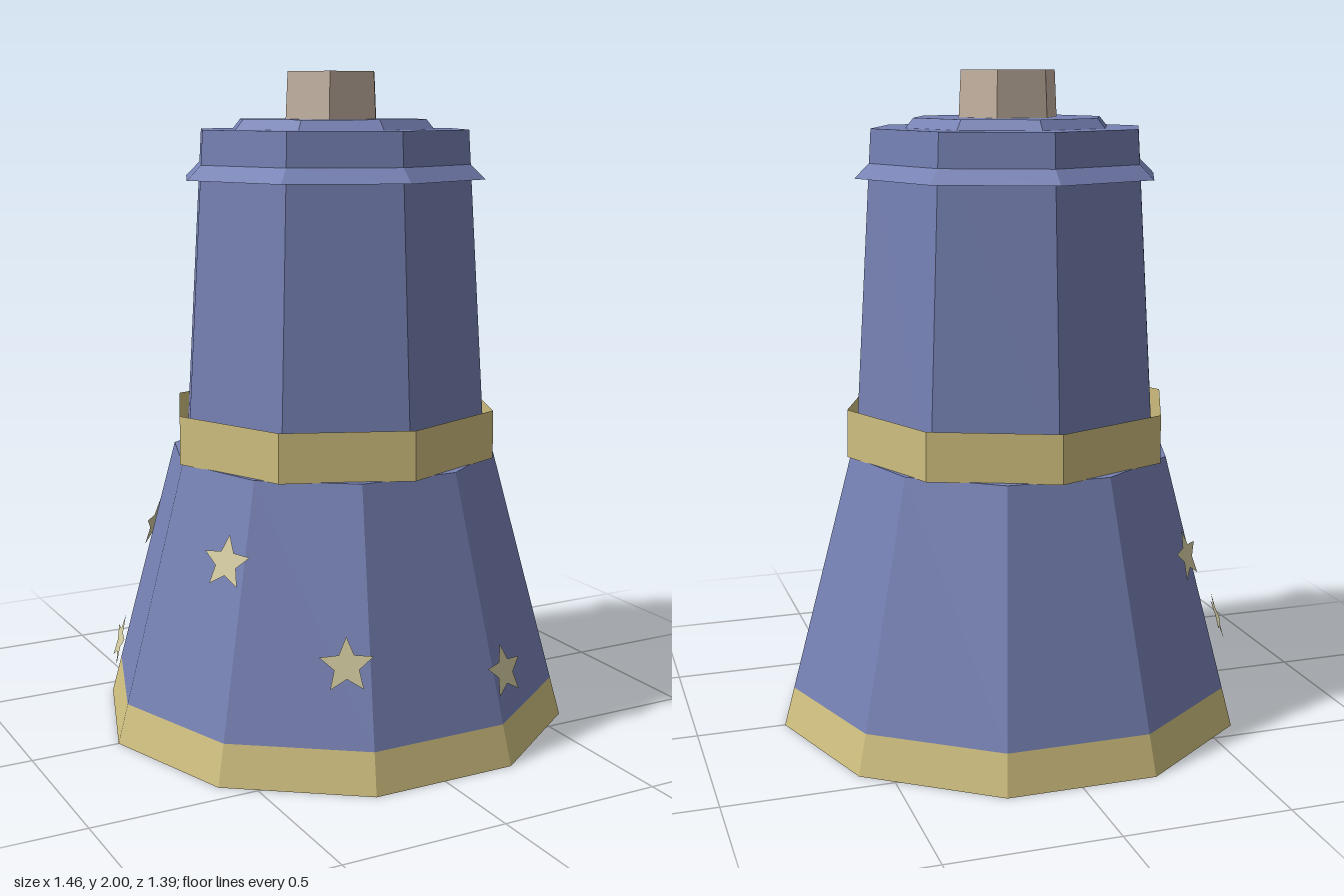
import * as THREE from 'three';
import { toCreasedNormals } from 'three/addons/utils/BufferGeometryUtils.js';

export function createModel() {
  const model = new THREE.Group();
  model.name = 'bellTower';

  const material = (name, color, side = THREE.FrontSide) => {
    const m = new THREE.MeshStandardMaterial({ color, side });
    m.name = name;
    return m;
  };
  const blue = material('dusty blue', 0x7681b4);
  const gold = material('gold trim', 0xd0bf7f, THREE.DoubleSide);
  const pale = material('pale star', 0xd6cda2, THREE.DoubleSide);
  const wood = material('pale wood', 0xc5b3a2, THREE.DoubleSide);

  // Faceted ring or solid from a [radius, y] profile, listed from the bottom up
  const faceted = (name, sides, start, profile, mat) => {
    const points = profile.map(([r, y]) => new THREE.Vector2(r, y));
    const lathe = new THREE.LatheGeometry(points, sides, start, Math.PI * 2);
    const mesh = new THREE.Mesh(toCreasedNormals(lathe, 0.1), mat);
    mesh.name = name;
    model.add(mesh);
  };

  // Flared ten-sided skirt with a gold hem
  const quarter = Math.PI / 2;
  const skirtRadius = (y) => 0.73 - 0.266 * y;
  faceted('skirtBase', 10, quarter, [[0, 0], [0.73, 0]], blue);
  faceted('hem', 10, quarter, [[0.73, 0], [skirtRadius(0.12), 0.12]], gold);
  faceted('skirt', 10, quarter,
    [[skirtRadius(0.12), 0.12], [skirtRadius(0.845), 0.845], [0, 0.845]], blue);

  // Eight-sided upper body, band and stepped top
  faceted('upperBody', 8, 0, [[0.488, 0.845], [0.425, 1.83], [0, 1.83]], blue);
  faceted('waistBand', 8, 0, [[0.514, 0.843], [0.512, 0.99]], gold);
  faceted('flaredRim', 8, 0, [[0.43, 1.685], [0.477, 1.685], [0.43, 1.73]], blue);
  faceted('topStep', 8, 0, [[0.32, 1.83], [0.295, 1.86], [0, 1.86]], blue);

  // Hollow six-sided post
  faceted('post', 6, quarter, [[0.155, 1.86], [0.148, 2.0]], wood);

  // Five-pointed stars leaning with the slope of the skirt
  const shape = new THREE.Shape();
  for (let i = 0; i < 10; i++) {
    const r = i % 2 ? 0.037 : 0.081;
    const a = quarter + (i * Math.PI) / 5;
    shape[i ? 'lineTo' : 'moveTo'](r * Math.cos(a), r * Math.sin(a));
  }
  shape.closePath();
  const starGeometry = new THREE.ShapeGeometry(shape);
  // [x, z direction, height]
  const stars = [[0.24, 0.63, 0.27], [-0.27, 0.6, 0.36], [-0.5, 0.3, 0.615],
    [-0.65, -0.17, 0.265], [-0.44, -0.41, 0.56]];
  stars.forEach(([x, z, y], i) => {
    const star = new THREE.Mesh(starGeometry, pale);
    star.name = `star${i + 1}`;
    const angle = Math.atan2(x, z);
    const r = skirtRadius(y) + 0.018;
    star.position.set(r * Math.sin(angle), y, r * Math.cos(angle));
    star.rotation.set(-Math.atan(0.266), angle, 0, 'YXZ');
    model.add(star);
  });

  return model;
}
